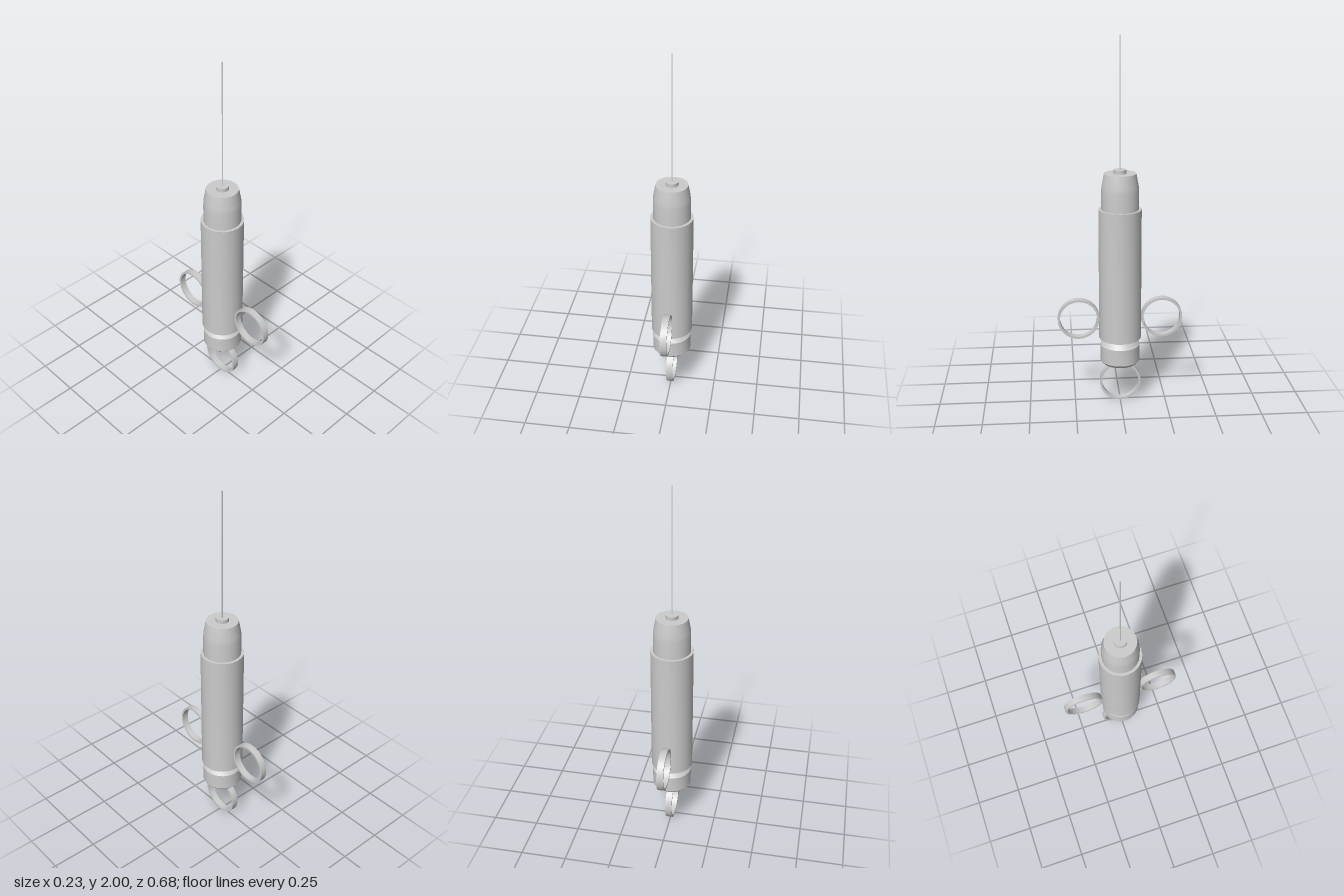
import * as THREE from 'three';
import { toCreasedNormals } from 'three/addons/utils/BufferGeometryUtils.js';

const material = new THREE.MeshStandardMaterial({ color: 0xcccccc });

// Turned part from [radius, height] pairs, listed bottom to top
function turned(name, profile, segments = 20) {
  const points = profile.map(([r, y]) => new THREE.Vector2(r, y));
  const geometry = toCreasedNormals(new THREE.LatheGeometry(points, segments), 0.5);
  const mesh = new THREE.Mesh(geometry, material);
  mesh.name = name;
  return mesh;
}

// Flat-banded finger ring with its axis along x
function fingerRing(name, y, z) {
  const outer = 0.113, inner = 0.101, half = 0.018;
  const ring = turned(name, [
    [inner, -half], [outer, -half], [outer, half], [inner, half], [inner, -half],
  ], 32);
  ring.rotation.z = Math.PI / 2;
  ring.position.set(0, y, z);
  return ring;
}

export function createModel() {
  const group = new THREE.Group();
  group.name = 'syringe';

  // Main barrel
  group.add(turned('barrel', [[0, 0.375], [0.115, 0.375], [0.115, 1.1], [0, 1.1]]));

  // Tapered nose above the barrel
  group.add(turned('nose', [[0, 1.09], [0.1, 1.09], [0.1, 1.2], [0.098, 1.225], [0.085, 1.293], [0, 1.293]]));

  // Needle hub and needle
  group.add(turned('needleHub', [[0, 1.285], [0.034, 1.285], [0.034, 1.313], [0, 1.313]]));
  group.add(turned('needle', [[0, 1.3], [0.003, 1.3], [0.003, 2], [0, 2]], 8));

  // Plunger cap with a narrow neck and chamfered foot
  group.add(turned('plungerCap', [
    [0, 0.228], [0.095, 0.228], [0.108, 0.243], [0.108, 0.335], [0.087, 0.362], [0.087, 0.38], [0, 0.38],
  ]));

  // Finger rings on both sides, thumb ring below
  group.add(fingerRing('frontFingerRing', 0.488, 0.227));
  group.add(fingerRing('backFingerRing', 0.488, -0.227));
  group.add(fingerRing('thumbRing', 0.115, 0));

  // Stand the lowest ring on the base plane
  const box = new THREE.Box3().setFromObject(group);
  group.children.forEach((part) => { part.position.y -= box.min.y; });
  return group;
}
